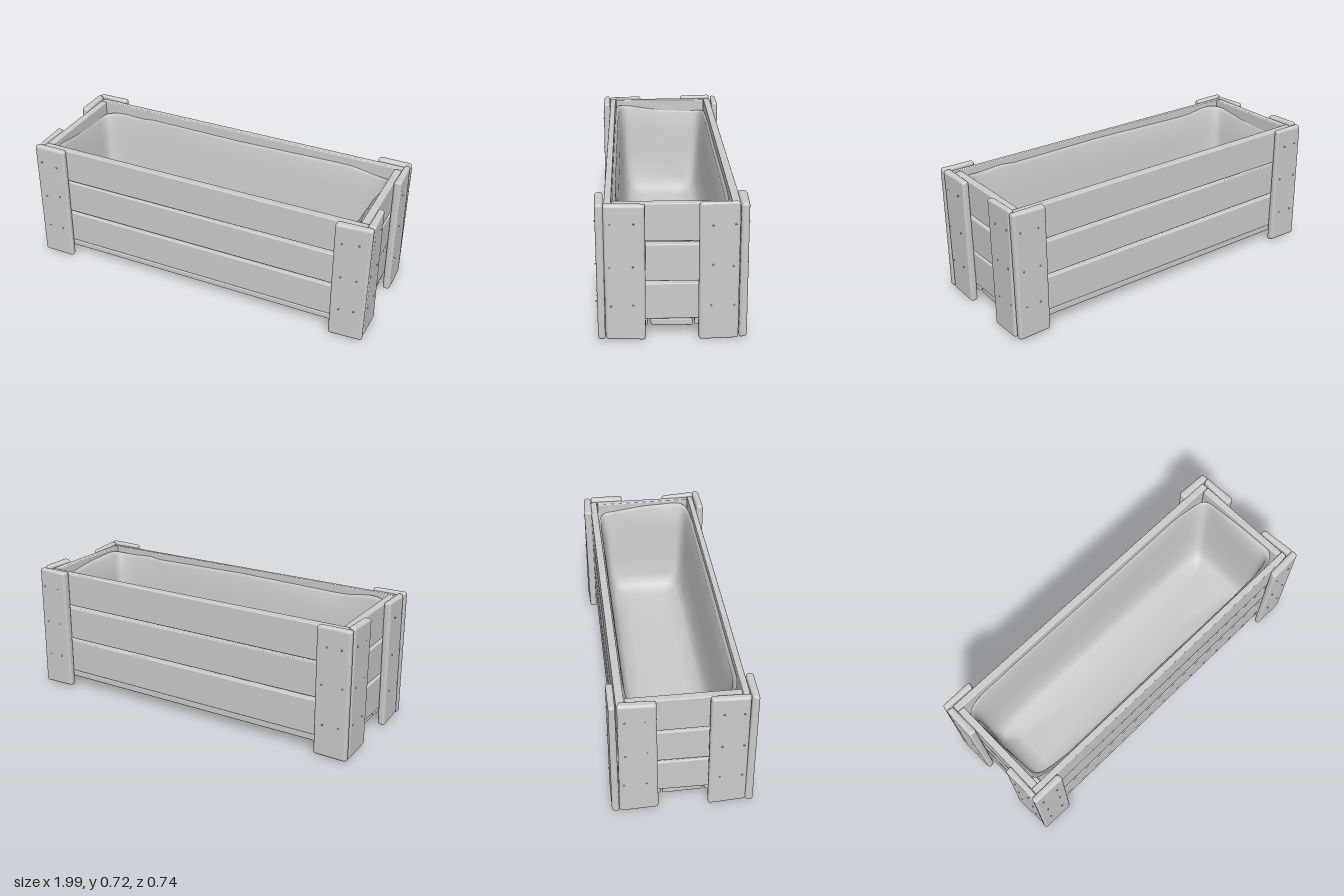
import * as THREE from 'three';
import { RoundedBoxGeometry } from 'three/addons/geometries/RoundedBoxGeometry.js';

const wood = new THREE.MeshStandardMaterial({ color: 0xcccccc });
const cloth = new THREE.MeshStandardMaterial({ color: 0xcccccc, side: THREE.DoubleSide });

// small seeded random, -1..1
let seed = 7;
const rand = () => {
  seed = (seed * 16807) % 2147483647;
  return (seed / 2147483647) * 2 - 1;
};

// worn board given by its bounds; each corner is nudged a little
function board(name, [x0, x1], [y0, y1], [z0, z1], wear = 0.004, radius = 0.01) {
  const size = [x1 - x0, y1 - y0, z1 - z0];
  const geo = new RoundedBoxGeometry(...size, 3, radius);
  const nudges = Array.from({ length: 8 }, () => new THREE.Vector3(rand(), rand(), rand()).multiplyScalar(wear));
  const p = geo.attributes.position;
  const v = new THREE.Vector3();
  for (let i = 0; i < p.count; i++) {
    v.fromBufferAttribute(p, i);
    const t = [v.x / size[0] + 0.5, v.y / size[1] + 0.5, v.z / size[2] + 0.5];
    nudges.forEach((n, c) => {
      const weight = t.reduce((w, f, a) => w * ((c >> a) & 1 ? f : 1 - f), 1);
      v.addScaledVector(n, weight);
    });
    p.setXYZ(i, v.x, v.y, v.z);
  }
  const mesh = new THREE.Mesh(geo, wood);
  mesh.name = name;
  mesh.position.set((x0 + x1) / 2, (y0 + y1) / 2, (z0 + z1) / 2);
  return mesh;
}

// bounds mirrored to the chosen side
const side = (s, a, b) => (s > 0 ? [a, b] : [-b, -a]);

// sagging cloth lining: rounded rectangular loops from the rim down to the floor
function createLiner() {
  const around = 96;
  // half length, half width, height, waviness of the height
  const rings = [
    [0.912, 0.287, 0.66, 0.02], [0.9, 0.275, 0.645, 0.018], [0.885, 0.262, 0.52, 0.012],
    [0.87, 0.25, 0.35, 0.008], [0.855, 0.235, 0.2, 0.005], [0.82, 0.2, 0.135, 0.003],
    [0.74, 0.13, 0.115, 0], [0.4, 0.05, 0.11, 0], [0, 0, 0.11, 0],
  ];
  const pos = [], index = [];
  rings.forEach(([a, b, y, wave], r) => {
    for (let i = 0; i < around; i++) {
      const t = (i / around) * Math.PI * 2;
      const c = Math.cos(t), s = Math.sin(t);
      const k = 0.16;
      const x = a * Math.sign(c) * Math.abs(c) ** k;
      const z = b * Math.sign(s) * Math.abs(s) ** k;
      const fold = Math.sin(x * 8 + z * 5) + 0.5 * Math.sin(x * 17 - z * 9);
      const pull = 1 - 0.5 * wave * (r > 0 ? 1 + fold : 0);
      pos.push(x * pull, y + wave * fold, z * pull);
      if (r < rings.length - 1) {
        const j = (i + 1) % around, p = r * around, q = p + around;
        index.push(p + i, q + j, q + i, p + i, p + j, q + j);
      }
    }
  });
  const geo = new THREE.BufferGeometry();
  geo.setAttribute('position', new THREE.Float32BufferAttribute(pos, 3));
  geo.setIndex(index);
  geo.computeVertexNormals();
  const mesh = new THREE.Mesh(geo, cloth);
  mesh.name = 'liner';
  return mesh;
}

export function createModel() {
  seed = 7;
  const model = new THREE.Group();
  model.name = 'planterCrate';

  // three rows of planks on each wall
  for (const [y0, y1] of [[0.096, 0.29], [0.303, 0.494], [0.51, 0.704]]) {
    for (const s of [1, -1]) {
      model.add(board('longPlank', [-0.95, 0.95], [y0, y1], side(s, 0.287, 0.325), 0.003, 0.006));
      model.add(board('endPlank', side(s, 0.912, 0.95), [y0, y1], [-0.285, 0.285], 0.003, 0.006));
    }
  }

  // floor boards
  for (const z of [[-0.322, -0.112], [-0.1, 0.105], [0.117, 0.322]]) {
    model.add(board('floorBoard', [-0.94, 0.94], [0.057, 0.095], z, 0.003, 0.008));
  }

  // corner posts, two boards each, with nails
  const nailGeo = new THREE.SphereGeometry(0.0045, 8, 6);
  for (const sx of [1, -1]) {
    for (const sz of [1, -1]) {
      const post = new THREE.Group();
      post.name = 'cornerPost';
      post.add(board('facePostBoard', side(sx, 0.802, 0.99), [0.006, 0.714], side(sz, 0.327, 0.366), 0.005, 0.014));
      const top = sz < 0 ? 0.72 : 0.712;
      post.add(board('endPostBoard', side(sx, 0.952, 0.99), [0.006, top], side(sz, 0.13, 0.324), 0.006, 0.014));
      const nail = (x, y, z) => {
        const mesh = new THREE.Mesh(nailGeo, wood);
        mesh.name = 'nail';
        mesh.position.set(x, y, z);
        post.add(mesh);
      };
      for (const y of [0.19, 0.4, 0.61]) {
        for (const u of [0.85, 0.945]) nail(sx * (u + rand() * 0.01), y + rand() * 0.008, sz * 0.367);
        for (const w of [0.19, 0.297]) nail(sx * 0.991, y + rand() * 0.01, sz * (w + rand() * 0.008));
      }
      model.add(post);
    }
  }

  model.add(createLiner());
  return model;
}
